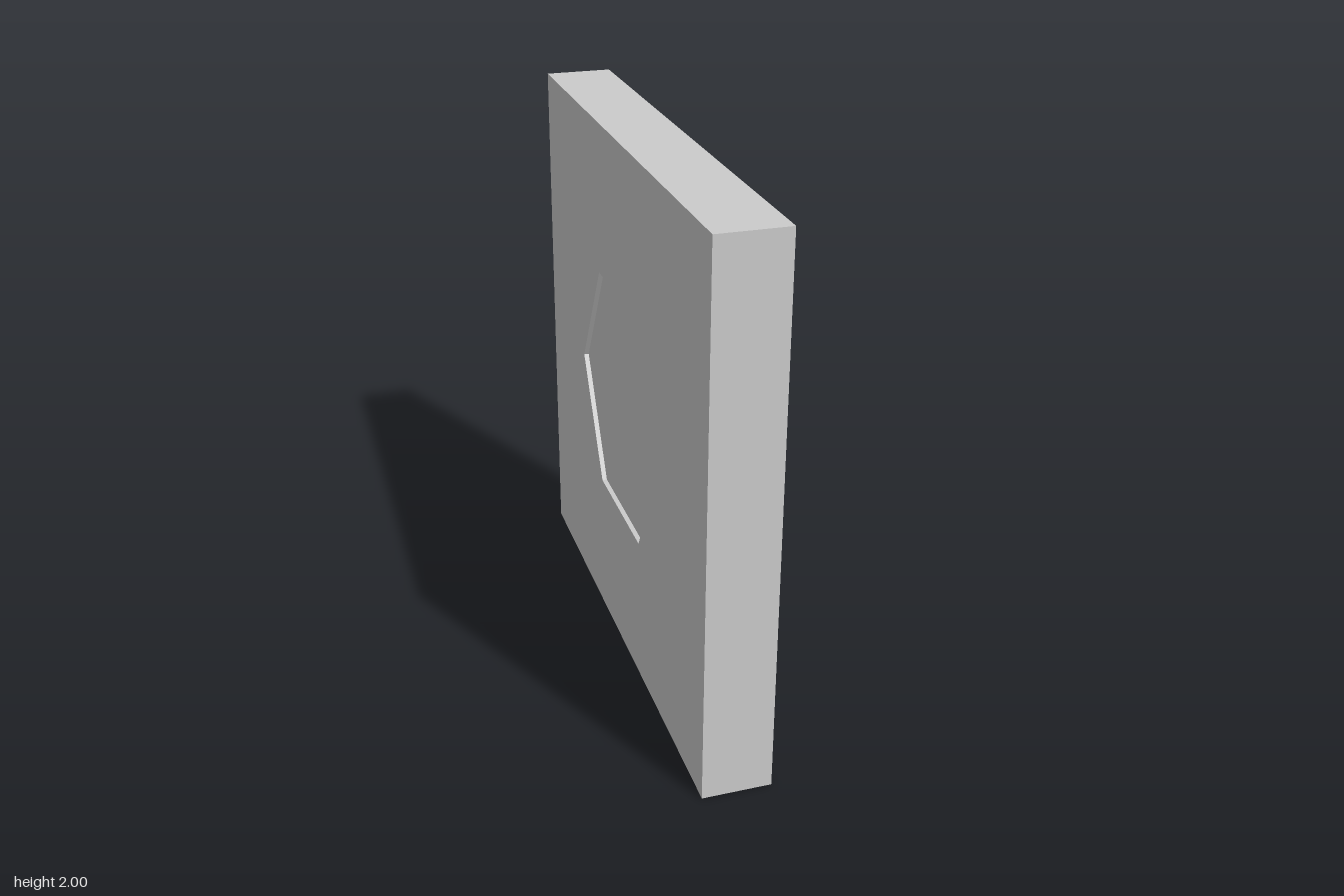
import * as THREE from 'three';

const THICKNESS = 0.25;
const RECESS = 0.018;

// Corners of the hexagon, with points toward the two upright edges
function hexPoints(radius) {
  return Array.from({ length: 6 }, (_, i) => {
    const a = (i * Math.PI) / 3;
    return new THREE.Vector2(Math.cos(a) * radius, 1 + Math.sin(a) * radius);
  });
}

// Extrudes a shape, centres its depth and turns that depth along x
function plate(shape, depth, name, material) {
  const geometry = new THREE.ExtrudeGeometry(shape, { depth, bevelEnabled: false });
  geometry.translate(0, 0, -depth / 2).rotateY(Math.PI / 2);
  const mesh = new THREE.Mesh(geometry, material);
  mesh.name = name;
  return mesh;
}

export function createModel() {
  const group = new THREE.Group();
  group.name = 'slabWithHexagonRecess';
  const material = new THREE.MeshStandardMaterial({ color: 0xcccccc, flatShading: true });

  // Square slab with a hexagonal opening
  const square = new THREE.Shape();
  square.moveTo(-1, 0);
  square.lineTo(1, 0);
  square.lineTo(1, 2);
  square.lineTo(-1, 2);
  square.closePath();
  const hexagon = hexPoints(0.502);
  square.holes.push(new THREE.Path([...hexagon].reverse()));
  group.add(plate(square, THICKNESS, 'slab', material));

  // Hexagonal panel, set back slightly from both broad faces
  group.add(plate(new THREE.Shape(hexagon), THICKNESS - 2 * RECESS, 'recessedPanel', material));

  return group;
}
